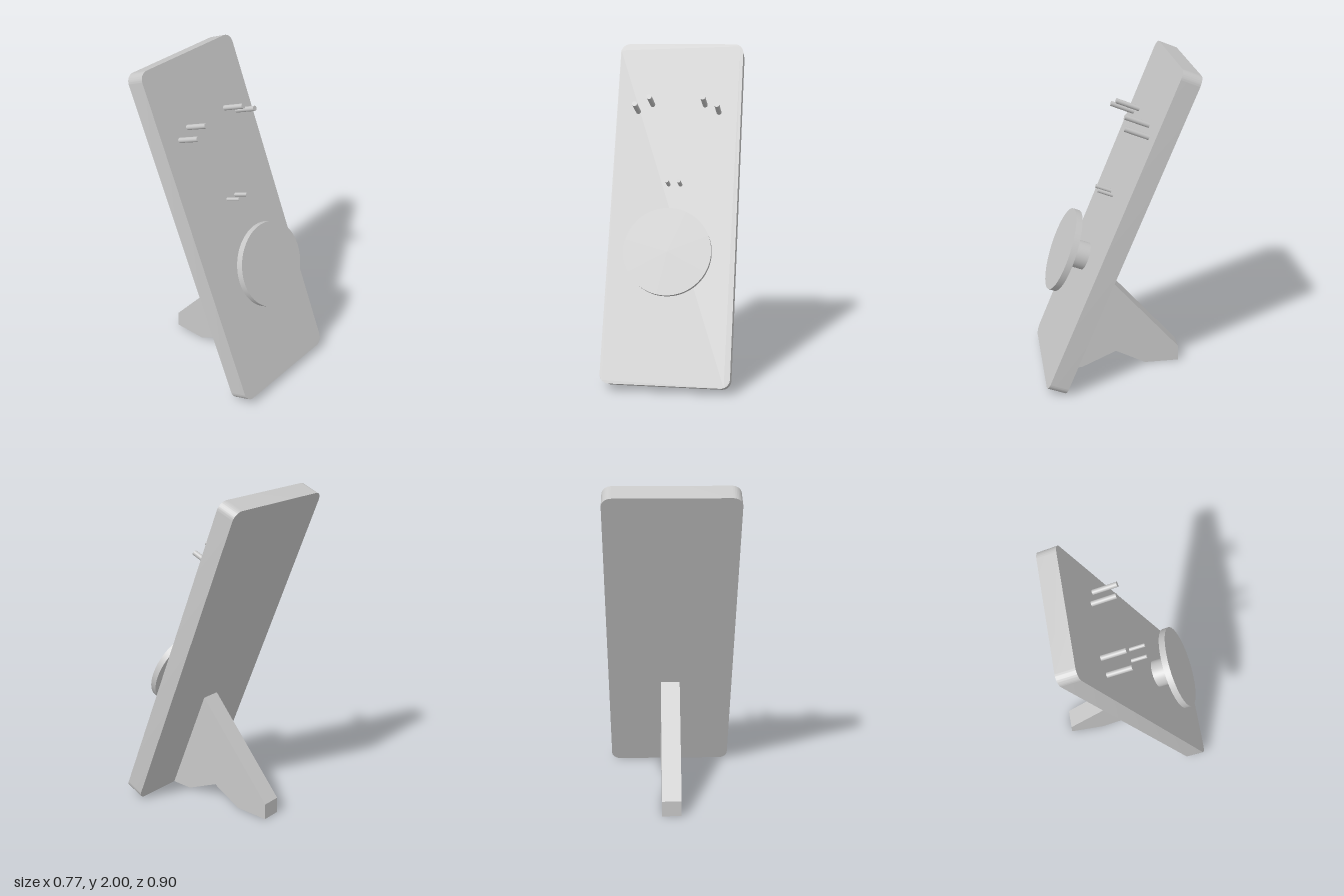
import * as THREE from 'three';
import { toCreasedNormals } from 'three/addons/utils/BufferGeometryUtils.js';

const TILT = THREE.MathUtils.degToRad(22); // board leans back
const FOOT_Z = 0.34;                       // rear bottom edge of the board
const WIDTH = 0.768, LENGTH = 2.11, THICK = 0.118, CORNER = 0.056;
const LEG_WIDTH = 0.118;

export function createModel() {
  const model = new THREE.Group();
  model.name = 'tiltedStand';
  const grey = new THREE.MeshStandardMaterial({ color: 0xc8c8c8 });
  grey.name = 'light grey';

  const add = (parent, name, geometry) => {
    const mesh = new THREE.Mesh(geometry, grey);
    mesh.name = name;
    parent.add(mesh);
    return mesh;
  };

  // Everything on the board lives in its leaning frame: y along it, z out of its face
  const panel = new THREE.Group();
  panel.name = 'leaningPanel';
  panel.position.z = FOOT_Z;
  panel.rotation.x = -TILT;
  model.add(panel);

  // Board with rounded corners
  const w = WIDTH / 2, r = CORNER;
  const outline = new THREE.Shape();
  outline.absarc(w - r, r, r, -Math.PI / 2, 0);
  outline.absarc(w - r, LENGTH - r, r, 0, Math.PI / 2);
  outline.absarc(-w + r, LENGTH - r, r, Math.PI / 2, Math.PI);
  outline.absarc(-w + r, r, r, Math.PI, Math.PI * 1.5);
  outline.closePath();
  const board = new THREE.ExtrudeGeometry(outline, { depth: THICK, bevelEnabled: false, curveSegments: 12 });
  add(panel, 'board', toCreasedNormals(board, 0.5));

  // Cylinder standing out of the board from depth z0 to z1
  const post = (name, x, y, radius, z0, z1, sides) => {
    const geometry = new THREE.CylinderGeometry(radius, radius, z1 - z0, sides);
    geometry.rotateX(Math.PI / 2);
    add(panel, name, geometry).position.set(x, y, (z0 + z1) / 2);
  };

  // Round rest on a short stem
  post('restStem', 0, 0.766, 0.086, THICK, 0.243, 48);
  post('restDisc', 0, 0.766, 0.258, 0.243, 0.283, 96);

  // Mirrored pairs of pegs
  for (const [side, s] of [['left', 1], ['right', -1]]) {
    post(side + 'OuterPeg', s * 0.25, 1.667, 0.0155, THICK, 0.27, 24);
    post(side + 'InnerPeg', s * 0.163, 1.713, 0.0155, THICK, 0.27, 24);
    post(side + 'SmallPeg', s * 0.036, 1.206, 0.0115, THICK, 0.218, 24);
  }

  // Rear leg: side profile as (z, y), extruded across x
  const apexY = 0.668;
  const profile = [
    [FOOT_Z, 0], [0.2, 0], [-0.02, 0.1], [-0.21, 0],
    [-0.425, 0], [-0.425, 0.1], [FOOT_Z - apexY * Math.tan(TILT), apexY],
  ];
  const legShape = new THREE.Shape(profile.map(([z, y]) => new THREE.Vector2(-z, y)));
  const leg = new THREE.ExtrudeGeometry(legShape, { depth: LEG_WIDTH, bevelEnabled: false });
  leg.translate(0, 0, -LEG_WIDTH / 2);
  leg.rotateY(Math.PI / 2);
  add(model, 'rearLeg', leg);

  return model;
}
